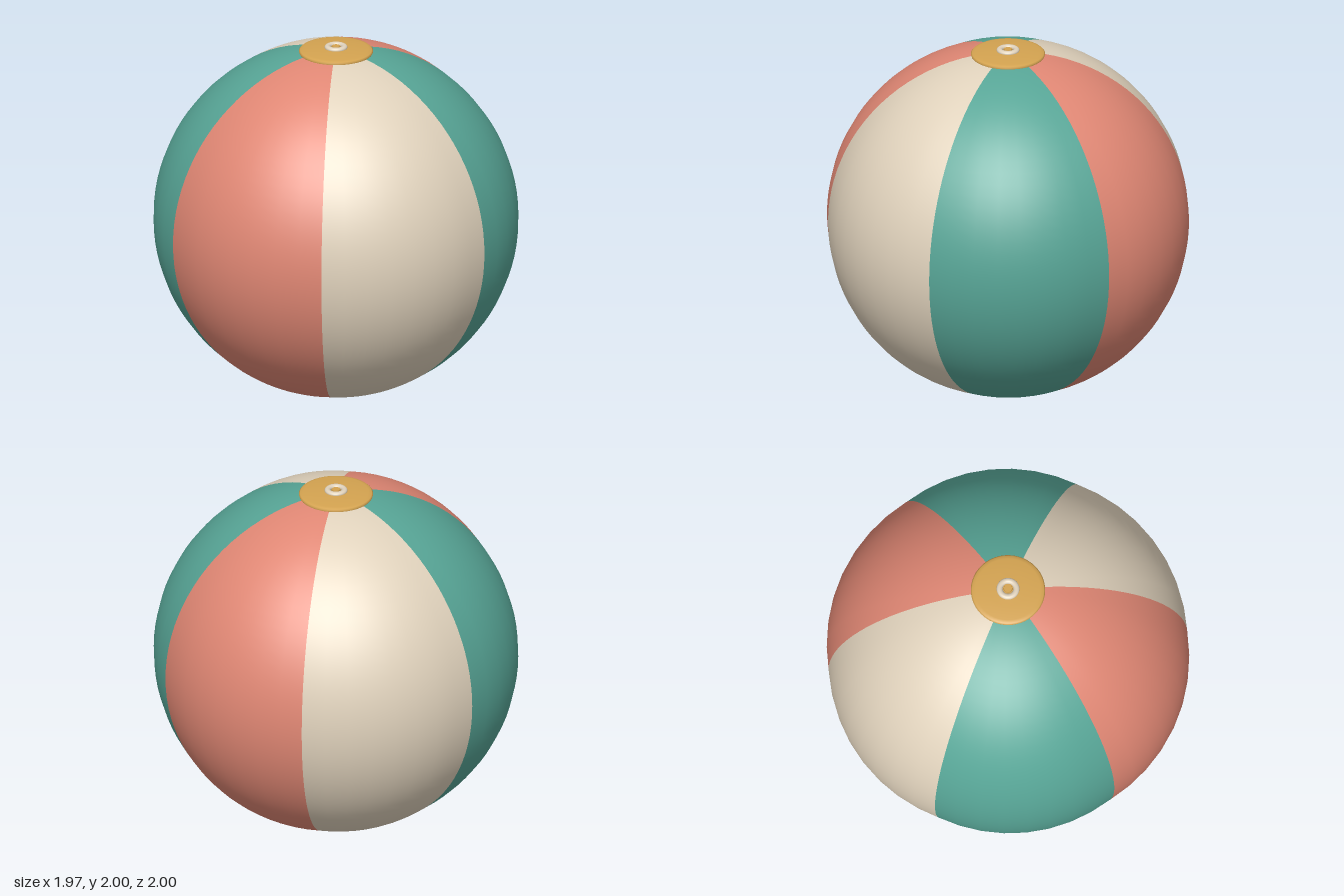
import * as THREE from 'three';

const mat = (name, color, side = THREE.FrontSide) =>
  Object.assign(new THREE.MeshStandardMaterial({ color, side }), { name });

const R = 0.985, CY = 0.993;

// Lathe from [radius, height] pairs, listed so that the outside faces out
function turned(points) {
  return new THREE.LatheGeometry(points.map(([r, y]) => new THREE.Vector2(r, y)), 48);
}

// One sixth of the ball, puffed out slightly between its two seams
function panelGeometry(index) {
  const arc = Math.PI / 3;
  const geo = new THREE.SphereGeometry(R, 8, 48, index * arc, arc);
  const pos = geo.attributes.position, uv = geo.attributes.uv;
  for (let i = 0; i < pos.count; i++) {
    const puff = 1 + 0.013 * Math.sin(Math.PI * uv.getX(i));
    pos.setX(i, pos.getX(i) * puff);
    pos.setZ(i, pos.getZ(i) * puff);
  }
  geo.computeVertexNormals();
  return geo;
}

export function createModel() {
  const model = new THREE.Group();
  model.name = 'beachBall';
  const coral = mat('coral', 0xe08774);
  const cream = mat('cream', 0xe0d2bc, THREE.DoubleSide);
  const teal = mat('teal', 0x57a596);
  const gold = mat('gold', 0xd4a350, THREE.DoubleSide);

  const add = (name, geo, material, y) => {
    const mesh = new THREE.Mesh(geo, material);
    mesh.name = name;
    mesh.position.y = y;
    model.add(mesh);
  };

  // Six panels in a repeating order of three colours
  const colours = [coral, cream, teal];
  for (let i = 0; i < 6; i++) add(`panel${i + 1}`, panelGeometry(i), colours[i % 3], CY);

  // Top cap: shallow disc with a bevelled rim
  add('topCap', turned([[0.2, 1.955], [0.203, 1.966], [0.196, 1.972], [0.178, 1.977], [0.1, 1.983], [0, 1.986]]), gold, 0);

  // Bottom cap follows the curve of the ball
  const capArc = Math.asin(0.2 / CY);
  add('bottomCap', new THREE.SphereGeometry(CY, 48, 6, 0, Math.PI * 2, Math.PI - capArc, capArc), cream, CY);

  // Valve: ring with a small plug inside
  const ring = new THREE.TorusGeometry(0.046, 0.017, 12, 40);
  ring.rotateX(Math.PI / 2);
  ring.scale(1, 0.8, 1);
  add('valveRing', ring, cream, 1.9864);
  add('valvePlug', new THREE.CylinderGeometry(0.022, 0.025, 0.014, 24), gold, 1.988);

  return model;
}
